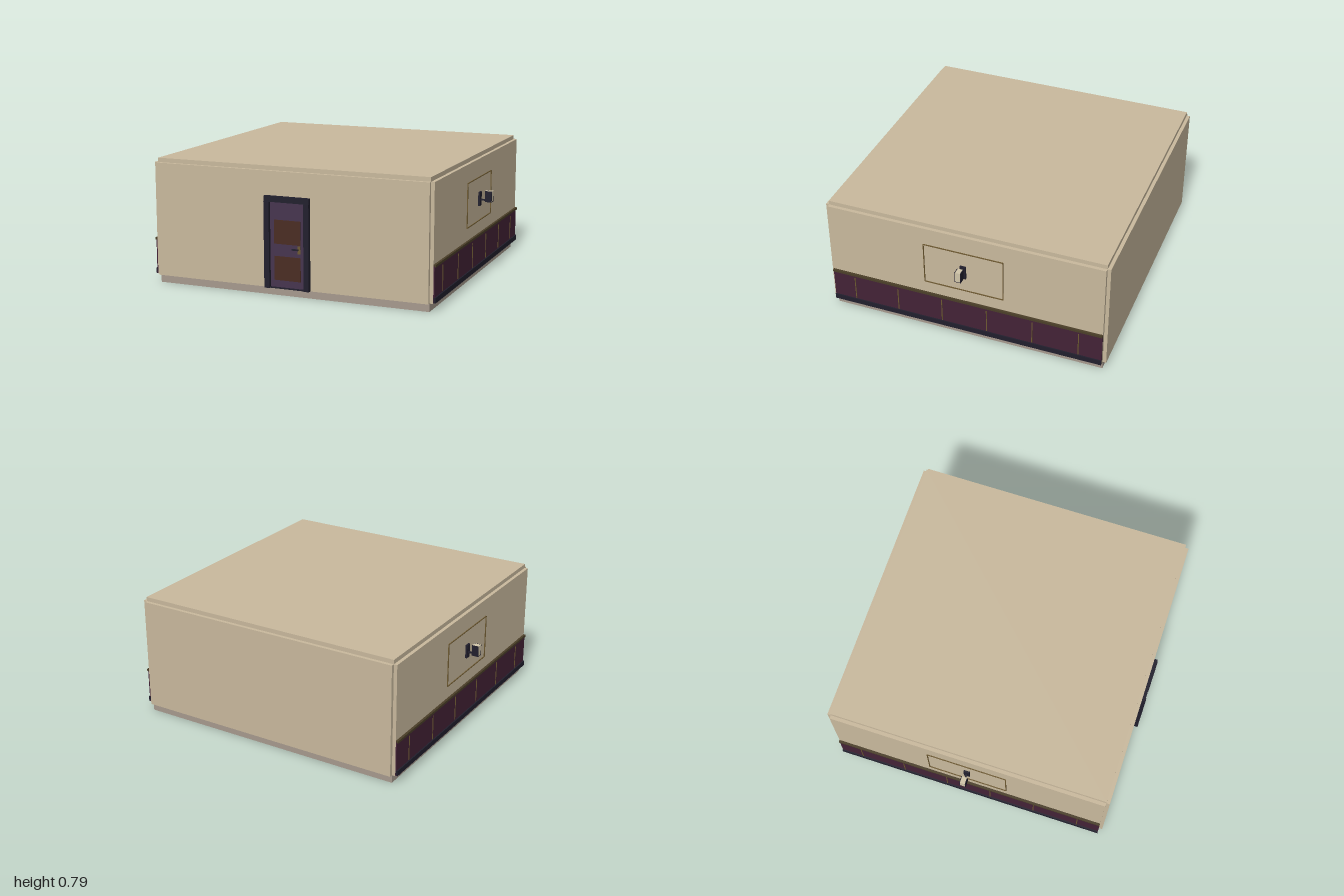
import * as THREE from 'three';

const paint = (name, color) => Object.assign(new THREE.MeshStandardMaterial({ color }), { name });

export function createModel() {
  const plaster = paint('plaster', 0xc9b99d);
  const stone = paint('floorStone', 0xa79a8e);
  const dark = paint('darkWood', 0x211f2d);
  const purple = paint('doorPurple', 0x46344f);
  const brown = paint('panelBrown', 0x4a2c22);
  const maroon = paint('wainscotMaroon', 0x432236);
  const olive = paint('oliveTrim', 0x4a3e28);
  const gold = paint('agedBrass', 0x6e5a32);
  const glow = paint('lampGlass', 0xd2c6aa);

  const model = new THREE.Group();
  model.name = 'room';

  // Box given by its low and high limits on each axis
  function box(parent, name, mat, [x0, x1], [y0, y1], [z0, z1]) {
    const mesh = new THREE.Mesh(new THREE.BoxGeometry(x1 - x0, y1 - y0, z1 - z0), mat);
    mesh.position.set((x0 + x1) / 2, (y0 + y1) / 2, (z0 + z1) / 2);
    mesh.name = name;
    parent.add(mesh);
    return mesh;
  }

  const H = 0.89, T = 0.022;            // half width of the slabs, wall thickness
  const CZ = -0.0125;                   // centre of the room in z
  const Z0 = CZ - H, Z1 = CZ + H;
  const Y0 = 0.051, Y1 = 0.766;         // wall foot and head
  const F = Z1 + T;                     // outer face of the front wall

  // Slabs and walls, with notched corners
  box(model, 'floor', stone, [-H, H], [0, Y0], [Z0, Z1]);
  box(model, 'ceiling', plaster, [-H, H], [Y1, 0.793], [Z0, Z1]);
  box(model, 'backWall', plaster, [-H, H], [Y0, Y1], [Z0 - T, Z0]);
  box(model, 'frontWallRight', plaster, [-H, -0.133], [Y0, Y1], [Z1, F]);
  box(model, 'frontWallLeft', plaster, [0.133, H], [Y0, Y1], [Z1, F]);
  box(model, 'wallOverDoor', plaster, [-0.133, 0.133], [0.6, Y1], [Z1, F]);

  // Door with frame, inset panels and handle
  const door = new THREE.Group();
  door.name = 'door';
  model.add(door);
  for (const s of [-1, 1]) {
    const xs = [s * 0.113, s * 0.147].sort((a, b) => a - b);
    box(door, 'doorJamb', dark, xs, [Y0, 0.582], [Z1, 0.924]);
  }
  box(door, 'doorLintel', dark, [-0.147, 0.147], [0.582, 0.618], [Z1, 0.92]);
  box(door, 'threshold', dark, [-0.113, 0.113], [Y0, 0.058], [Z1, 0.915]);
  box(door, 'doorLeaf', purple, [-0.113, 0.113], [0.058, 0.582], [Z1, 0.903]);
  for (const ys of [[0.102, 0.25], [0.326, 0.473]])
    box(door, 'doorPanel', brown, [-0.086, 0.086], ys, [0.902, 0.907]);
  box(door, 'handlePlate', gold, [0.068, 0.086], [0.274, 0.322], [0.902, 0.908]);
  box(door, 'handleLever', dark, [0.032, 0.074], [0.295, 0.304], [0.908, 0.916]);

  // Side wall with wainscot, picture moulding and lamp, built for +x
  function buildSide(s) {
    const side = new THREE.Group();
    side.name = s > 0 ? 'leftSide' : 'rightSide';
    model.add(side);
    const W = H + T;
    const add = (name, mat, xs, ys, zs) =>
      box(side, name, mat, s > 0 ? xs : [-xs[1], -xs[0]], ys, zs);

    add('sideWall', plaster, [H, W], [Y0, Y1], [Z0, Z1]);
    add('wainscot', maroon, [W, 0.919], [0.055, 0.275], [Z0, Z1]);
    add('baseboard', dark, [W, 0.927], [0.055, 0.088], [Z0, Z1]);
    add('chairRail', olive, [W, 0.927], [0.27, 0.285], [Z0, Z1]);
    for (let i = 0; i < 6; i++) {
      const z = Z0 + (i + 0.5) * (2 * H / 6);
      add('wainscotBatten', gold, [0.919, 0.922], [0.092, 0.252], [z - 0.003, z + 0.003]);
    }

    // Thin rectangular moulding
    const m = 0.0025, hz = 0.257;
    for (const y of [0.368, 0.649])
      add('mouldingRail', gold, [W, 0.918], [y - m, y + m], [CZ - hz, CZ + hz]);
    for (const z of [CZ - hz, CZ + hz])
      add('mouldingStile', gold, [W, 0.918], [0.368, 0.649], [z - m, z + m]);

    // Wall lamp: back plate, arm, glass block with dark cheeks
    add('lampPlate', dark, [W, 0.924], [0.465, 0.553], [CZ - 0.019, CZ + 0.019]);
    add('lampArm', dark, [0.924, 0.957], [0.498, 0.508], [CZ - 0.005, CZ + 0.005]);
    add('lampGlass', glow, [0.956, 1], [0.497, 0.563], [CZ - 0.016, CZ + 0.016]);
    for (const c of [-1, 1])
      add('lampCheek', dark, [0.956, 1], [0.497, 0.563],
        c > 0 ? [CZ + 0.016, CZ + 0.02] : [CZ - 0.02, CZ - 0.016]);
    add('lampBase', dark, [0.956, 1], [0.493, 0.497], [CZ - 0.02, CZ + 0.02]);
  }
  buildSide(1);
  buildSide(-1);

  return model;
}
